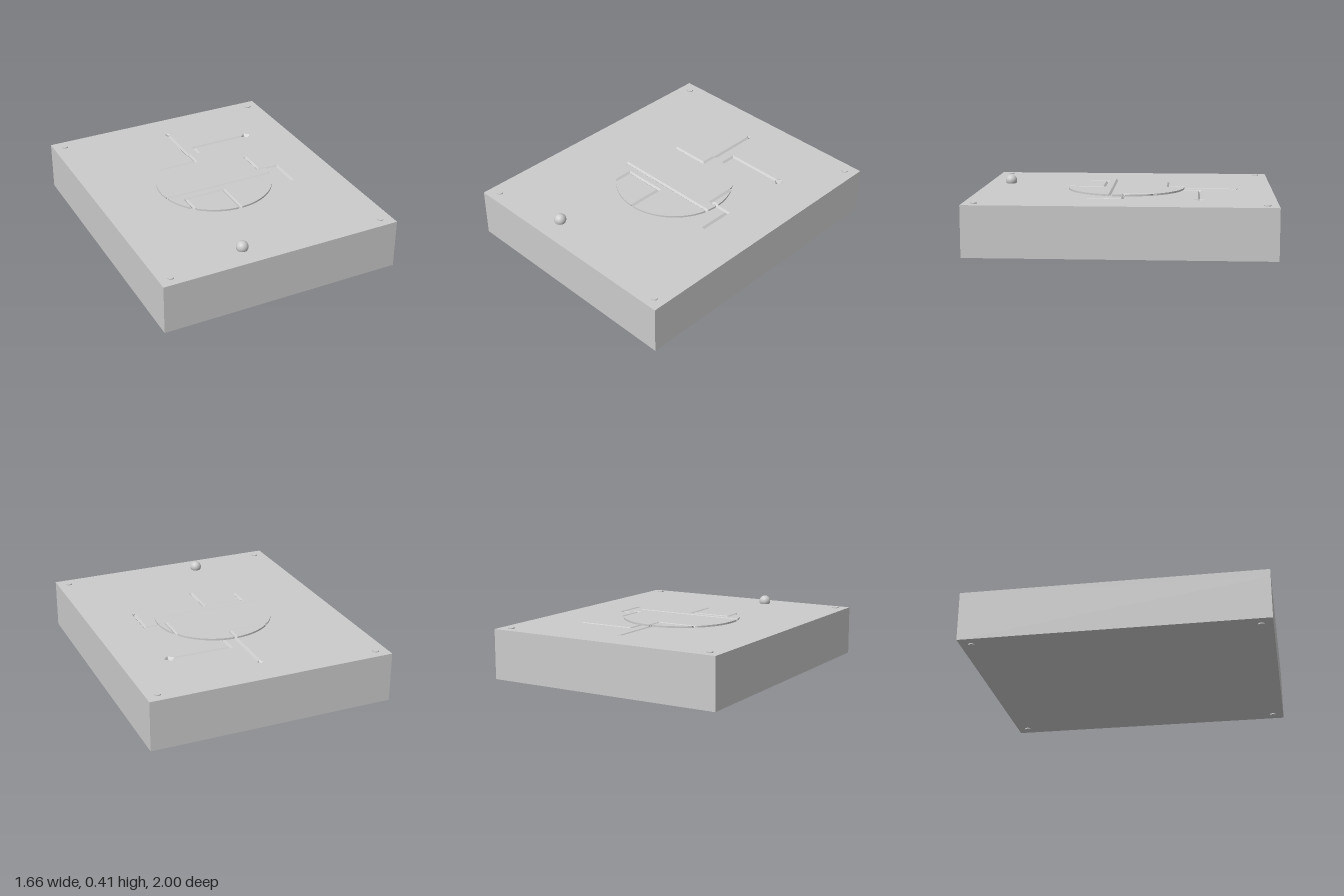
import * as THREE from 'three';
import { mergeVertices, toCreasedNormals } from 'three/addons/utils/BufferGeometryUtils.js';

const R = 0.4, G = 0.012;             // disc radius, groove half width
const BOTTOM = 0.008, TOP = 0.345, DISC_TOP = 0.357, LID = 0.05;
const mat = new THREE.MeshStandardMaterial({ color: 0xcccccc });
const open = new THREE.MeshStandardMaterial({ color: 0xcccccc, side: THREE.DoubleSide });

// Points on the disc rim at a given x or z
const rimX = (x, s) => [x, s * Math.sqrt(R * R - x * x)];
const rimZ = (z, s) => [s * Math.sqrt(R * R - z * z), z];

// Short way round the rim from p to q
function arc(p, q) {
  const a = Math.atan2(p[1], p[0]);
  let d = Math.atan2(q[1], q[0]) - a;
  if (d > Math.PI) d -= 2 * Math.PI;
  if (d < -Math.PI) d += 2 * Math.PI;
  const n = Math.max(2, Math.ceil(Math.abs(d) / 0.07));
  return Array.from({ length: n + 1 }, (_, i) => [R * Math.cos(a + d * i / n), R * Math.sin(a + d * i / n)]);
}

const toVec = (pts) => pts.map(([x, z]) => new THREE.Vector2(x, -z));

// Flat plate from an outline in x, z, standing on y
function plate(outline, holes, y, height) {
  const shape = new THREE.Shape(toVec(outline));
  for (const h of holes) shape.holes.push(new THREE.Path(toVec(h)));
  const geo = new THREE.ExtrudeGeometry(shape, { depth: height, bevelEnabled: false });
  geo.rotateX(-Math.PI / 2).translate(0, y, 0);
  return toCreasedNormals(geo, 0.4);
}

// Path moved sideways by w, with mitred corners
function offset(path, w) {
  const normals = path.slice(1).map(([x, z], i) => {
    const dx = x - path[i][0], dz = z - path[i][1], l = Math.hypot(dx, dz);
    return [-dz / l, dx / l];
  });
  return path.map(([x, z], i) => {
    const a = normals[Math.max(0, i - 1)], b = normals[Math.min(i, normals.length - 1)];
    const k = w / (1 + a[0] * b[0] + a[1] * b[1]);
    return [x + (a[0] + b[0]) * k, z + (a[1] + b[1]) * k];
  });
}

// V-shaped channel along a path
function channel(path, top, depth) {
  const rows = [offset(path, G), path, offset(path, -G)];
  const pos = [];
  for (let r = 0; r < 2; r++) {
    for (let i = 0; i < path.length - 1; i++) {
      const v = (row, k) => [rows[row][k][0], top - (row === 1 ? depth : 0), rows[row][k][1]];
      const a = v(r, i), b = v(r, i + 1), c = v(r + 1, i + 1), d = v(r + 1, i);
      pos.push(...a, ...b, ...c, ...a, ...c, ...d);
    }
  }
  const geo = new THREE.BufferGeometry();
  geo.setAttribute('position', new THREE.Float32BufferAttribute(pos, 3));
  geo.computeVertexNormals();
  return geo;
}

export function createModel() {
  const model = new THREE.Group();
  const add = (name, geo, material = mat, x = 0, y = 0, z = 0) => {
    const mesh = new THREE.Mesh(geo, material);
    mesh.name = name;
    mesh.position.set(x, y, z);
    model.add(mesh);
    return mesh;
  };

  // Channels cut into the slab, two of them ending in a diamond pit
  const slabChannels = [
    { path: [[0, -0.37], [0, -0.762]], pit: [0, -0.772], r: 0.02 },
    { path: [[0.085, -0.37], [0.085, -0.505], [0.488, -0.505]], pit: [0.512, -0.505], r: 0.037 },
    { path: [[0.37, -0.004], [0.493, -0.004], [0.493, 0.23]] },
  ];
  const holes = slabChannels.map(({ path, pit, r }) => {
    const end = [];
    if (pit) {
      // Three outer corners of the diamond, ordered from one channel side to the other
      const [p, q] = path.slice(-2);
      const l = Math.hypot(q[0] - p[0], q[1] - p[1]);
      const dx = (q[0] - p[0]) / l * r, dz = (q[1] - p[1]) / l * r;
      end.push([pit[0] - dz, pit[1] + dx], [pit[0] + dx, pit[1] + dz], [pit[0] + dz, pit[1] - dx]);
    }
    return [...offset(path, G), ...end, ...offset(path, -G).reverse()];
  });

  // Slab: plain lower block and a lid holding the channels
  const lower = TOP - LID - BOTTOM;
  add('slabBase', new THREE.BoxGeometry(1.66, lower, 2), mat, 0, BOTTOM + lower / 2, 0);
  add('slabTop', plate([[-0.83, -1], [0.83, -1], [0.83, 1], [-0.83, 1]], holes, TOP - LID, LID));
  for (const { path, pit, r } of slabChannels) {
    add('slabChannel', channel(path, TOP, 0.014), open);
    if (pit) {
      const cone = new THREE.ConeGeometry(r, r, 4, 1, true).toNonIndexed();
      cone.computeVertexNormals();
      add('diamondPit', cone, open, pit[0], TOP - r / 2, pit[1]).rotation.x = Math.PI;
    }
  }

  // Raised disc, divided into five pieces by its channels
  const pieces = [
    [...arc(rimZ(-0.29 - G, -1), rimX(-G, -1)), [-G, -0.29 - G]],
    [...arc(rimX(G, -1), rimX(0.345 - G, -1)), [0.345 - G, G - 0.004],
      ...arc(rimZ(G - 0.004, 1), rimZ(0.085 - G, 1)),
      ...arc(rimZ(0.085 - G, -1), rimZ(-0.29 + G, -1)), [G, -0.29 + G]],
    [...arc(rimX(0.345 + G, -1), rimZ(-0.004 - G, 1)), [0.345 + G, -0.004 - G]],
    [...arc(rimZ(0.085 + G, 1), rimX(G, 1)), [G, 0.15 - G], [-0.285 - G, 0.15 - G],
      ...arc(rimX(-0.285 - G, 1), rimZ(0.085 + G, -1))],
    [[-0.285 + G, 0.15 + G], [-G, 0.15 + G], ...arc(rimX(-G, 1), rimX(-0.285 + G, 1))],
  ];
  for (const p of pieces) add('discPiece', plate(p, [], TOP, DISC_TOP - TOP));

  const discChannels = [
    [[-0.272, -0.29], [0, -0.29], [0, -0.4]],
    [[0.345, -0.2], [0.345, -0.004], [0.399, -0.004]],
    [[-0.389, 0.085], [0.389, 0.085]],
    [[-0.285, 0.277], [-0.285, 0.15], [0, 0.15], [0, 0.399]],
  ];
  for (const p of discChannels) add('discChannel', channel(p, DISC_TOP, 0.0115), open);

  // Corner pins through the slab
  for (const x of [-0.75, 0.75]) {
    for (const z of [-0.925, 0.925]) {
      add('cornerPin', new THREE.CylinderGeometry(0.022, 0.022, 0.352, 24), mat, x, 0.176, z);
    }
  }

  // Ball resting near the front edge
  add('ball', mergeVertices(new THREE.SphereGeometry(0.04, 32, 20)), mat, -0.22, 0.365, 0.84);
  return model;
}
